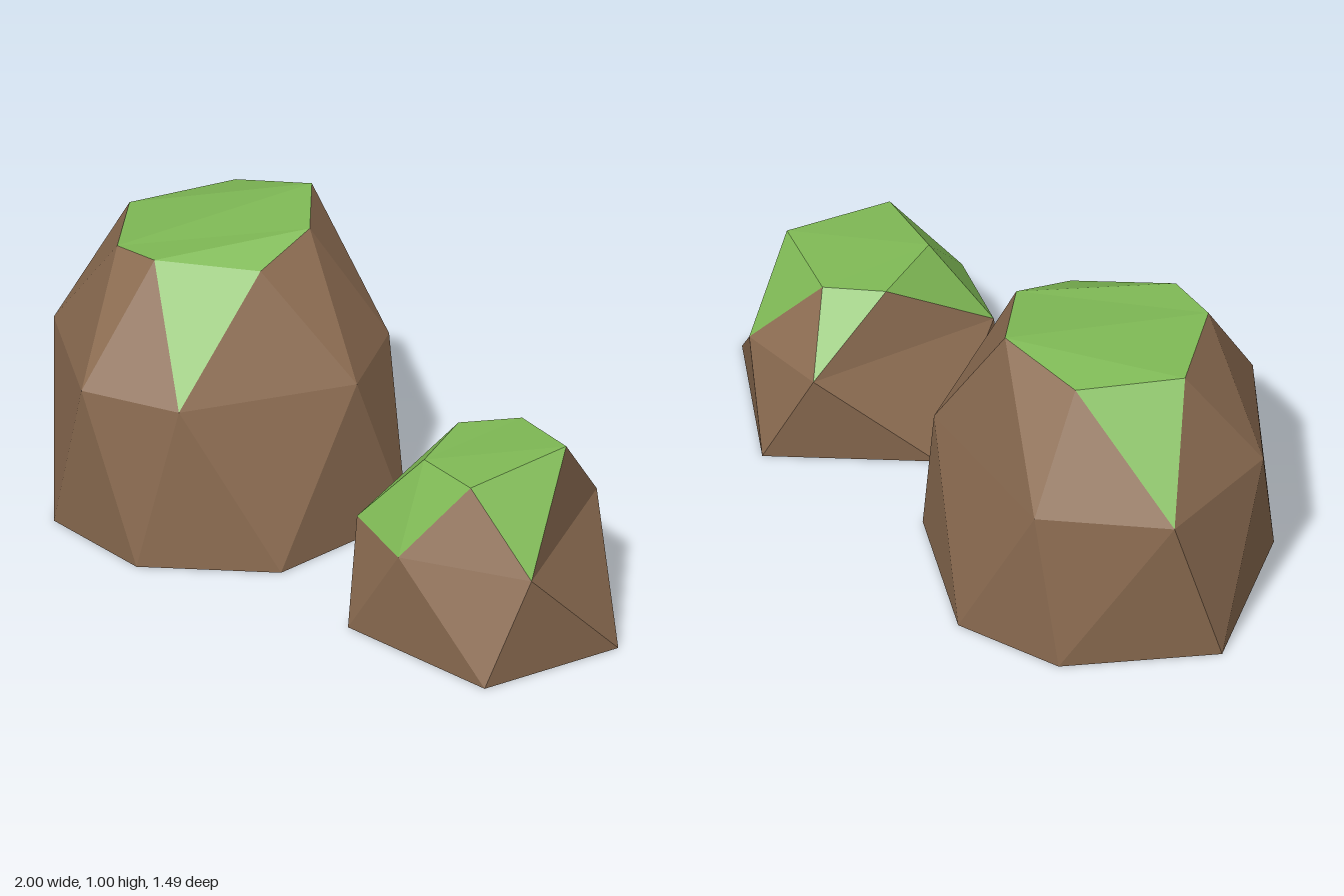
import * as THREE from 'three';

const stone = new THREE.MeshStandardMaterial({ color: 0x8d6d52, flatShading: true });
stone.name = 'brown stone';
const moss = new THREE.MeshStandardMaterial({ color: 0x7fb955, flatShading: true });
moss.name = 'green moss';

// Flat-faced mesh from a list of triangles
function facetMesh(name, triangles, material) {
  const geometry = new THREE.BufferGeometry().setFromPoints(triangles.flat());
  geometry.computeVertexNormals();
  const mesh = new THREE.Mesh(geometry, material);
  mesh.name = name;
  return mesh;
}

// Boulder from three staggered rings, each running from +x towards +z.
// mossTips: downward facets under the rim that are mossy; mossSides: upward ones.
function boulder(name, { base, middle, middleY, top, cap, mossTips, mossSides }) {
  const n = base.length;
  const b = base.map(([x, z]) => new THREE.Vector3(x, 0, z));
  const m = middle.map(([x, z]) => new THREE.Vector3(x, middleY, z));
  const t = top.map(([x, y, z]) => new THREE.Vector3(x, y, z));
  const rock = [], green = [];

  for (let i = 0; i < n; i++) {
    const next = (i + 1) % n, prev = (i + n - 1) % n;
    // lower band
    rock.push([b[i], b[prev], m[i]], [m[i], m[next], b[i]]);
    // upper band
    (mossSides.includes(i) ? green : rock).push([m[next], m[i], t[i]]);
    (mossTips.includes(i) ? green : rock).push([t[prev], t[i], m[i]]);
    // underside
    if (i > 1) rock.push([b[0], b[i - 1], b[i]]);
  }
  // mossy crown
  for (const [i, j, k] of cap) green.push([t[k], t[j], t[i]]);

  const group = new THREE.Group();
  group.name = name;
  group.add(facetMesh(name + 'Stone', rock, stone), facetMesh(name + 'Moss', green, moss));
  return group;
}

export function createModel() {
  const model = new THREE.Group();
  model.name = 'mossyBoulders';

  model.add(boulder('largeBoulder', {
    base: [[0.13, -0.23], [-0.14, 0.22], [-0.58, 0.315], [-0.91, 0.11], [-0.99, -0.48], [-0.55, -0.74], [-0.18, -0.67]],
    middle: [[0.025, -0.385], [0.025, -0.045], [-0.45, 0.29], [-0.78, 0.245], [-1, -0.18], [-0.89, -0.62], [-0.47, -0.745]],
    middleY: 0.555,
    top: [[-0.18, 0.985, -0.215], [-0.28, 0.92, -0.02], [-0.6, 0.95, 0.06], [-0.745, 0.935, -0.02],
      [-0.8, 0.915, -0.33], [-0.52, 0.93, -0.54], [-0.25, 1, -0.465]],
    cap: [[0, 1, 2], [0, 2, 3], [0, 3, 6], [3, 4, 6], [4, 5, 6]],
    mossTips: [2, 5],
    mossSides: [],
  }));

  model.add(boulder('smallBoulder', {
    base: [[1, 0.37], [0.68, 0.74], [0.16, 0.49], [0.21, 0.07], [0.72, -0.12]],
    middle: [[0.82, 0.01], [0.8, 0.635], [0.36, 0.61], [0.16, 0.395], [0.545, -0.125]],
    middleY: 0.345,
    top: [[0.79, 0.61, 0.235], [0.57, 0.583, 0.53], [0.375, 0.575, 0.385], [0.405, 0.57, 0.12], [0.59, 0.58, 0.05]],
    cap: [[0, 1, 2], [0, 2, 4], [2, 3, 4]],
    mossTips: [0, 1, 2, 3, 4],
    mossSides: [2],
  }));

  return model;
}
